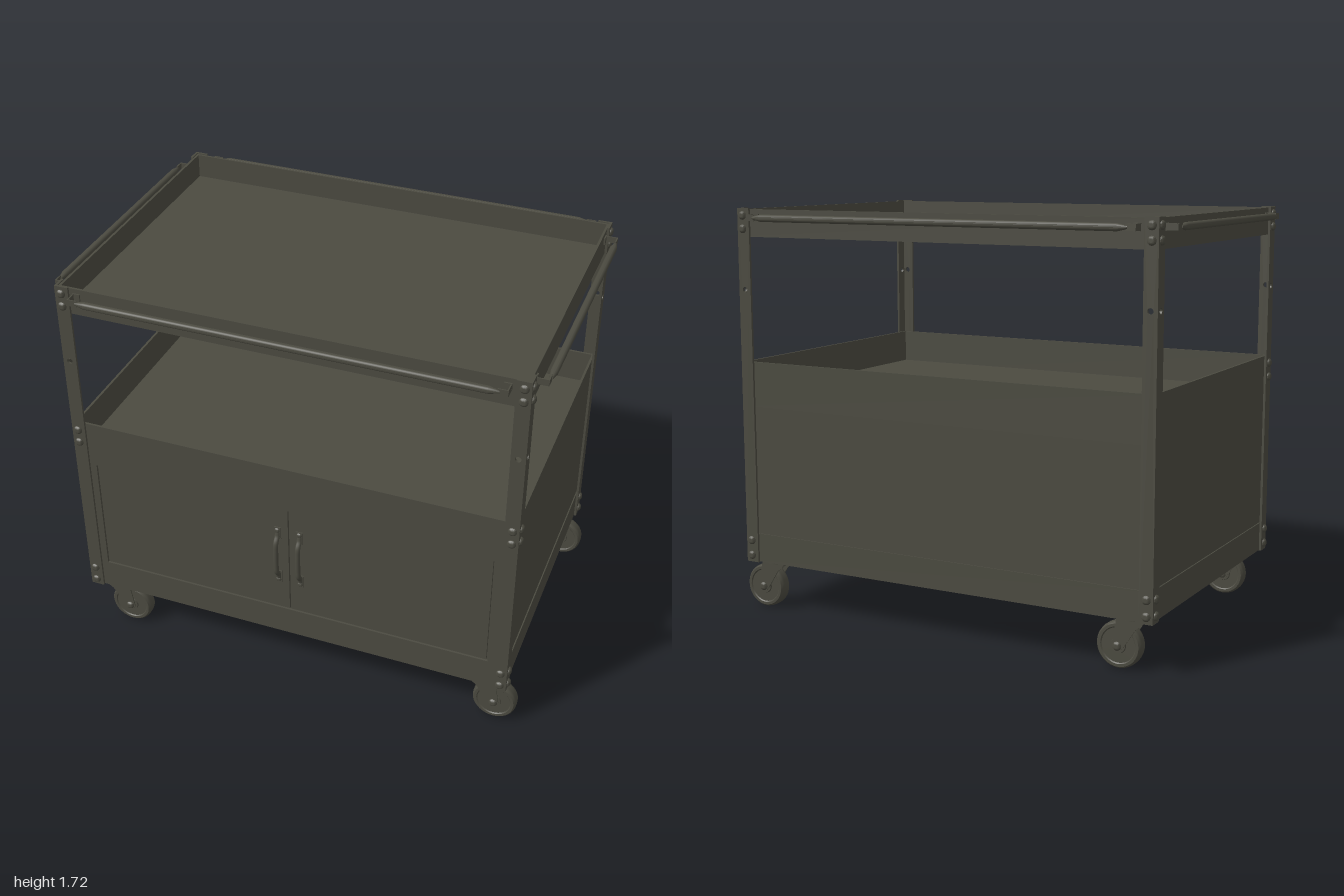
import * as THREE from 'three';
import { toCreasedNormals } from 'three/addons/utils/BufferGeometryUtils.js';

const steel = new THREE.MeshStandardMaterial({ color: 0x4b4a40 });
steel.name = 'dark olive steel';

const X = 0.945, Z = 0.635;         // outer faces of the corner posts
const TX = 0.935, TZ = 0.625;       // outer faces of the trays
const LEG = 0.058, T = 0.01;        // post leg width, sheet thickness
const BOTTOM = 0.21, TOP = 1.718;

function add(parent, name, geometry, x = 0, y = 0, z = 0) {
  const mesh = new THREE.Mesh(geometry, steel);
  mesh.name = name;
  mesh.position.set(x, y, z);
  parent.add(mesh);
  return mesh;
}

// Box given by its limits on each axis
function slab(parent, name, x0, x1, y0, y1, z0, z1) {
  return add(parent, name, new THREE.BoxGeometry(x1 - x0, y1 - y0, z1 - z0),
    (x0 + x1) / 2, (y0 + y1) / 2, (z0 + z1) / 2);
}

function group(parent, name) {
  const g = new THREE.Group();
  g.name = name;
  parent.add(g);
  return g;
}

// Open tray: four walls and a floor
function tray(parent, name, y0, y1, floorY) {
  const g = group(parent, name);
  for (const s of [-1, 1]) {
    add(g, 'longWall', new THREE.BoxGeometry(2 * TX, y1 - y0, T), 0, (y0 + y1) / 2, s * (TZ - T / 2));
    add(g, 'shortWall', new THREE.BoxGeometry(T, y1 - y0, 2 * (TZ - T)), s * (TX - T / 2), (y0 + y1) / 2, 0);
  }
  slab(g, 'floor', -TX + T, TX - T, floorY, floorY + T, -TZ + T, TZ - T);
}

// One leg of an angle post, with a round through-hole
function legGeometry() {
  const w = LEG / 2;
  const shape = new THREE.Shape([[-w, BOTTOM], [w, BOTTOM], [w, TOP], [-w, TOP]]
    .map(([x, y]) => new THREE.Vector2(x, y)));
  const hole = new THREE.Path();
  hole.absarc(0, 1.38, 0.012, 0, Math.PI * 2, true);
  shape.holes.push(hole);
  return new THREE.ExtrudeGeometry(shape, { depth: T, bevelEnabled: false, curveSegments: 12 }).translate(0, 0, -T / 2);
}

// Domed bolt head whose axis points along +z
const boltGeometry = toCreasedNormals(new THREE.LatheGeometry(
  [[0.018, 0], [0.018, 0.004], [0.014, 0.009], [0.007, 0.012], [0, 0.0125]]
    .map(([r, y]) => new THREE.Vector2(r, y)), 14).rotateX(Math.PI / 2), 0.7);

function post(parent, sx, sz) {
  const g = group(parent, sz > 0 ? 'frontPost' : 'backPost');
  const leg = legGeometry();
  add(g, 'longFaceLeg', leg, sx * (X - LEG / 2), 0, sz * (Z - T / 2));
  add(g, 'shortFaceLeg', leg, sx * (X - T / 2), 0, sz * (Z - LEG / 2)).rotation.y = Math.PI / 2;
  const heights = [1.688, 1.633, 0.305, 0.24];
  if (sz > 0) heights.push(1.045, 0.985);
  for (const y of heights) {
    add(g, 'bolt', boltGeometry, sx * (X - 0.027), y, sz * Z).rotation.y = sz > 0 ? 0 : Math.PI;
    add(g, 'bolt', boltGeometry, sx * X, y, sz * (Z - 0.027)).rotation.y = sx * Math.PI / 2;
  }
}

// Push rail along local x, standing off a tray wall along local +z
function rail(parent, name, half, wall, out) {
  const g = group(parent, name);
  const r = 0.015, inner = half - 0.07;
  const bar = new THREE.LatheGeometry([[0, -half + 0.03], [0.006, -half + 0.03], [r, -inner], [r, inner],
    [0.006, half - 0.03], [0, half - 0.03]].map(([a, b]) => new THREE.Vector2(a, b)), 16);
  add(g, 'railBar', toCreasedNormals(bar, 0.7), 0, 1.68, out).rotation.z = -Math.PI / 2;
  for (const s of [-1, 1]) {
    add(g, 'railStrap', new THREE.BoxGeometry(0.005, 0.026, out - wall), s * half, 1.68, (out + wall) / 2);
    add(g, 'railStrapEnd', new THREE.BoxGeometry(0.04, 0.026, 0.005), s * (half - 0.018), 1.68, out);
    add(g, 'railFoot', new THREE.BoxGeometry(0.03, 0.03, 0.006), s * (half - 0.012), 1.68, wall + 0.003);
  }
  return g;
}

function caster(parent, x, z) {
  const g = group(parent, 'caster');
  g.position.set(x, 0, z);
  const trail = 0.052, r = 0.093, w = 0.028;
  // Wheel with rounded tread and raised hub
  const profile = [[0, -w - 0.001], [0.03, -w - 0.001], [0.032, -w + 0.004], [0.07, -w + 0.004], [0.074, -w], [0.085, -w], [0.091, -w + 0.007],
    [r, -0.01], [r, 0.01], [0.091, w - 0.007], [0.085, w], [0.074, w], [0.07, w - 0.004], [0.032, w - 0.004], [0.03, w + 0.001], [0, w + 0.001]];
  const wheel = new THREE.LatheGeometry(profile.map(([a, b]) => new THREE.Vector2(a, b)), 36);
  add(g, 'wheel', toCreasedNormals(wheel.rotateX(Math.PI / 2), 0.6), trail, r + 0.003, 0);
  // Swept fork cheeks
  const cheek = new THREE.Shape();
  cheek.moveTo(-0.055, 0.208);
  cheek.lineTo(-0.05, 0.19);
  cheek.lineTo(-0.025, 0.172);
  cheek.lineTo(0.028, 0.09);
  cheek.absarc(trail, 0.096, 0.022, Math.PI * 1.1, Math.PI * 2, false);
  cheek.lineTo(0.056, 0.208);
  const cheekGeometry = new THREE.ExtrudeGeometry(cheek, { depth: 0.005, bevelEnabled: false, curveSegments: 8 });
  for (const s of [-1, 1]) {
    add(g, 'forkCheek', cheekGeometry, 0, 0, s * 0.0345 - 0.0025);
    add(g, 'axleNut', boltGeometry, trail, 0.096, s * 0.036).rotation.y = s > 0 ? 0 : Math.PI;
  }
  slab(g, 'forkCrown', -0.055, 0.056, 0.196, 0.204, -0.037, 0.037);
  add(g, 'swivel', new THREE.CylinderGeometry(0.045, 0.045, 0.012, 20), 0, 0.208, 0);
}

// Bowed pull handle with two mounting pads
function handle(parent, x) {
  const g = group(parent, 'doorHandle');
  g.position.set(x, 0.63, 0.616);
  const path = new THREE.CatmullRomCurve3([[-0.12, 0.004], [-0.1, 0.01], [-0.075, 0.027], [-0.04, 0.031],
    [0.04, 0.031], [0.075, 0.027], [0.1, 0.01], [0.12, 0.004]].map(([y, z]) => new THREE.Vector3(0, y, z)));
  add(g, 'grip', new THREE.TubeGeometry(path, 32, 0.011, 10));
  for (const s of [-1, 1]) {
    add(g, 'handlePad', new THREE.BoxGeometry(0.03, 0.06, 0.01), 0, s * 0.115, 0.004);
    add(g, 'handleScrew', boltGeometry, 0, s * 0.13, 0.008).scale.setScalar(0.65);
  }
}

export function createModel() {
  const model = new THREE.Group();
  model.name = 'utilityCart';

  // Trays
  tray(model, 'topTray', 1.6, 1.714, 1.602);
  tray(model, 'middleTray', 0.885, 1.077, 0.925);
  tray(model, 'bottomTray', BOTTOM + 0.002, 0.335, BOTTOM + 0.004);

  // Corner posts
  for (const sx of [-1, 1]) for (const sz of [-1, 1]) post(model, sx, sz);

  // Cabinet panels, set in slightly from the trays
  const cabinet = group(model, 'cabinet');
  const px = TX - 0.005, pz = TZ - 0.005;
  for (const s of [-1, 1]) {
    add(cabinet, 'sidePanel', new THREE.BoxGeometry(T, 0.56, 2 * pz), s * (px - T / 2), 0.61, 0);
    slab(cabinet, 'doorStile', Math.min(s * 0.858, s * px), Math.max(s * 0.858, s * px), 0.33, 0.89, TZ - T, TZ);
  }
  slab(cabinet, 'backPanel', -px, px, 0.33, 0.89, -pz, -pz + T);
  slab(cabinet, 'doorLintel', -0.858, 0.858, 0.871, 0.89, TZ - T, TZ);
  slab(cabinet, 'doorSill', -0.858, 0.858, 0.333, 0.343, TZ - T, TZ);
  slab(cabinet, 'doorBacking', -0.9, 0.9, 0.33, 0.89, TZ - 0.025, TZ - 0.017);

  // Double doors and handles
  for (const s of [-1, 1]) {
    add(cabinet, 'door', new THREE.BoxGeometry(0.848, 0.52, 0.014), s * 0.427, 0.607, 0.613);
    handle(cabinet, s * 0.048);
  }

  // Push rails on all four sides
  const out = 0.672;
  rail(model, 'frontRail', 0.868, TZ, out);
  rail(model, 'backRail', 0.868, TZ, out).rotation.y = Math.PI;
  rail(model, 'leftRail', 0.556, TX, 0.985).rotation.y = Math.PI / 2;
  rail(model, 'rightRail', 0.556, TX, 0.985).rotation.y = -Math.PI / 2;

  // Casters, all trailing the same way
  for (const x of [-0.837, 0.837]) for (const z of [-0.563, 0.563]) caster(model, x, z);

  return model;
}
